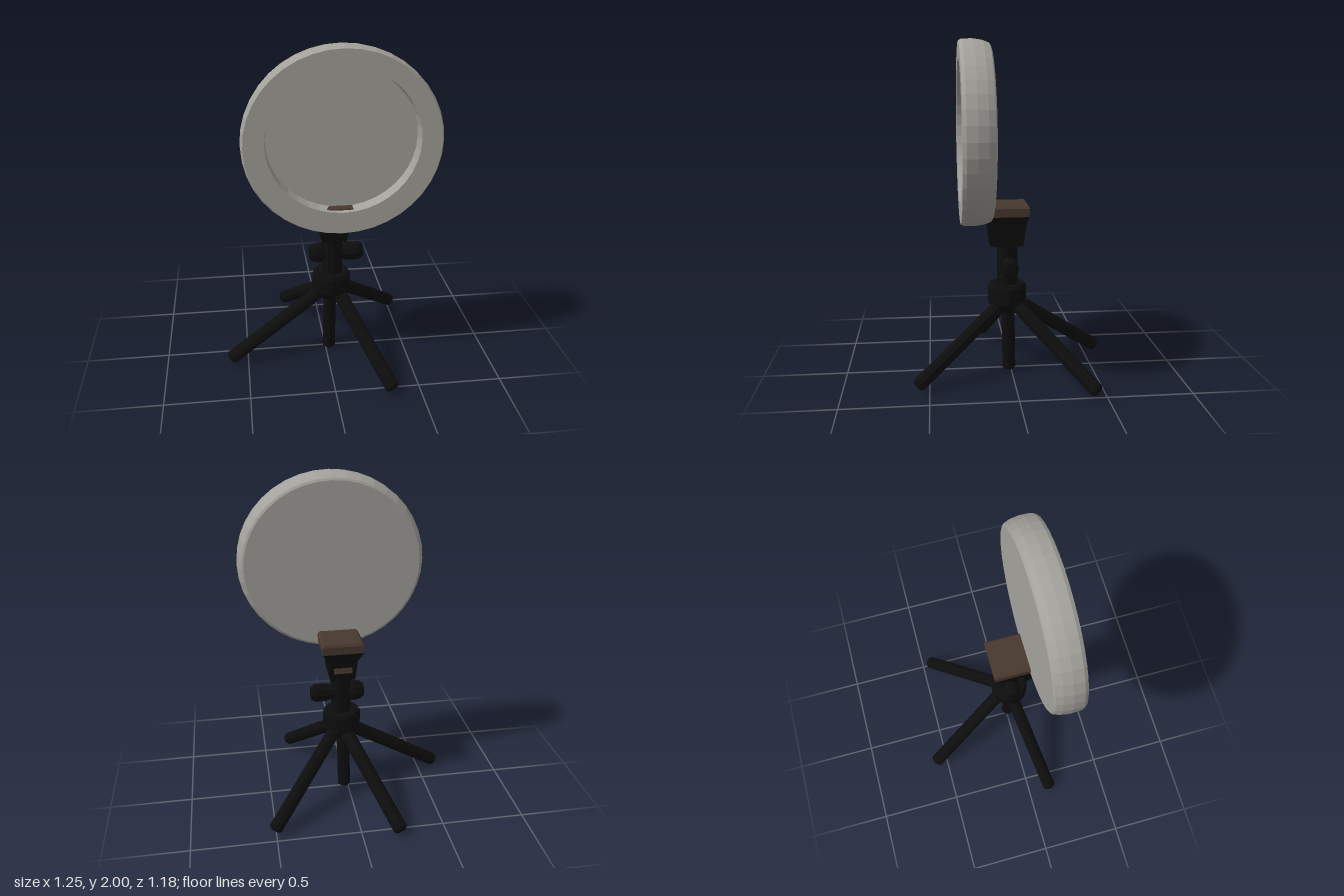
import * as THREE from 'three';

const flat = (name, color) => {
  const m = new THREE.MeshStandardMaterial({ color, flatShading: true });
  m.name = name;
  return m;
};

export function createModel() {
  const grey = flat('warm grey', 0xa3a19b);
  const black = flat('black', 0x0d0d0d);
  const brown = flat('dark brown', 0x49392f);
  const model = new THREE.Group();

  const add = (name, geometry, material, x = 0, y = 0, z = 0) => {
    const mesh = new THREE.Mesh(geometry, material);
    mesh.name = name;
    mesh.position.set(x, y, z);
    model.add(mesh);
    return mesh;
  };
  const lathe = (pts, sides) =>
    new THREE.LatheGeometry(pts.map(([r, y]) => new THREE.Vector2(r, y)), sides);

  // Box whose bottom is a different size from its top, standing on y = 0
  const taperedBox = (topW, topD, botW, botD, h) => {
    const g = new THREE.BoxGeometry(topW, h, topD).translate(0, h / 2, 0);
    const p = g.attributes.position;
    for (let i = 0; i < p.count; i++) {
      if (p.getY(i) < h / 2) {
        p.setX(i, p.getX(i) * botW / topW);
        p.setZ(i, p.getZ(i) * botD / topD);
      }
    }
    return g;
  };

  // Rod with chamfered ends between two points
  const rod = (name, a, b, r, sides = 10) => {
    const dir = b.clone().sub(a), len = dir.length(), c = r * 0.3;
    const g = lathe([[0, 0], [r - c, 0], [r, c], [r, len - c], [r - c, len], [0, len]], sides);
    const mesh = add(name, g, black, a.x, a.y, a.z);
    mesh.quaternion.setFromUnitVectors(new THREE.Vector3(0, 1, 0), dir.normalize());
    return mesh;
  };

  // Lamp head: closed flat back, rounded rim, recessed front panel
  const head = lathe([
    [0, 0.125], [0.5, 0.125], [0.513, 0.133], [0.527, 0.17], [0.535, 0.225],
    [0.533, 0.285], [0.523, 0.305], [0.412, 0.305], [0.405, 0.225], [0, 0.225],
  ], 40).rotateX(Math.PI / 2).scale(1.047, 1, 1);
  const hp = head.attributes.position;
  for (let i = 0; i < hp.count; i++) {
    const r = Math.hypot(hp.getX(i) / 1.047, hp.getY(i));
    if (hp.getZ(i) > 0.2 && r < 0.42) hp.setY(i, hp.getY(i) + 0.015);
  }
  add('lampHead', head, grey, 0.065, 1.465, 0);
  // Small patch on the floor of the recess wall
  add('recessPatch', new THREE.BoxGeometry(0.15, 0.008, 0.05), brown, 0.05, 1.077, 0.255);

  // Bracket behind the lamp
  add('bracketCapTop', taperedBox(0.225, 0.215, 0.25, 0.23, 0.015), brown, 0.04, 1.035, 0.018);
  add('bracketCap', taperedBox(0.25, 0.23, 0.245, 0.225, 0.05), brown, 0.04, 0.985, 0.018);
  add('bracketUnderside', taperedBox(0.245, 0.225, 0.19, 0.19, 0.05), black, 0.04, 0.935, 0.018);
  add('bracketNeck', taperedBox(0.18, 0.235, 0.15, 0.195, 0.15), black, 0.04, 0.8, 0.032);
  const patch = add('bracketPatch', new THREE.BoxGeometry(0.11, 0.045, 0.006), brown, 0.04, 0.875, -0.076);
  patch.rotation.x = 0.13;

  // Post, cross knob and hub
  add('post', new THREE.CylinderGeometry(0.062, 0.062, 0.28, 12), black, 0.04, 0.68, 0.025);
  const knob = lathe([
    [0, -0.155], [0.042, -0.155], [0.058, -0.13], [0.066, -0.085], [0.05, -0.06],
    [0.05, 0.06], [0.057, 0.08], [0.057, 0.145], [0.04, 0.172], [0, 0.172],
  ], 10).rotateZ(-Math.PI / 2).scale(1, 1, 0.85);
  add('clampKnob', knob, black, 0.055, 0.685, 0.02);
  add('hub', lathe([
    [0, 0.39], [0.07, 0.39], [0.105, 0.43], [0.117, 0.445], [0.117, 0.54], [0.105, 0.56], [0, 0.56],
  ], 16), black, 0.035, 0, 0.025);

  // Central column and four splayed legs
  rod('centreColumn', new THREE.Vector3(0.022, 0.005, 0.012), new THREE.Vector3(0.028, 0.45, 0.02), 0.04);
  const centre = new THREE.Vector3(0.045, 0.475, 0.015);
  [[-0.225, -0.575], [0.51, -0.445], [-0.61, 0.14], [0.33, 0.57]].forEach(([x, z], i) => {
    const foot = new THREE.Vector3(x, 0.043, z);
    rod('leg' + (i + 1), centre.clone().lerp(foot, 0.07), foot, 0.042);
  });
  return model;
}
